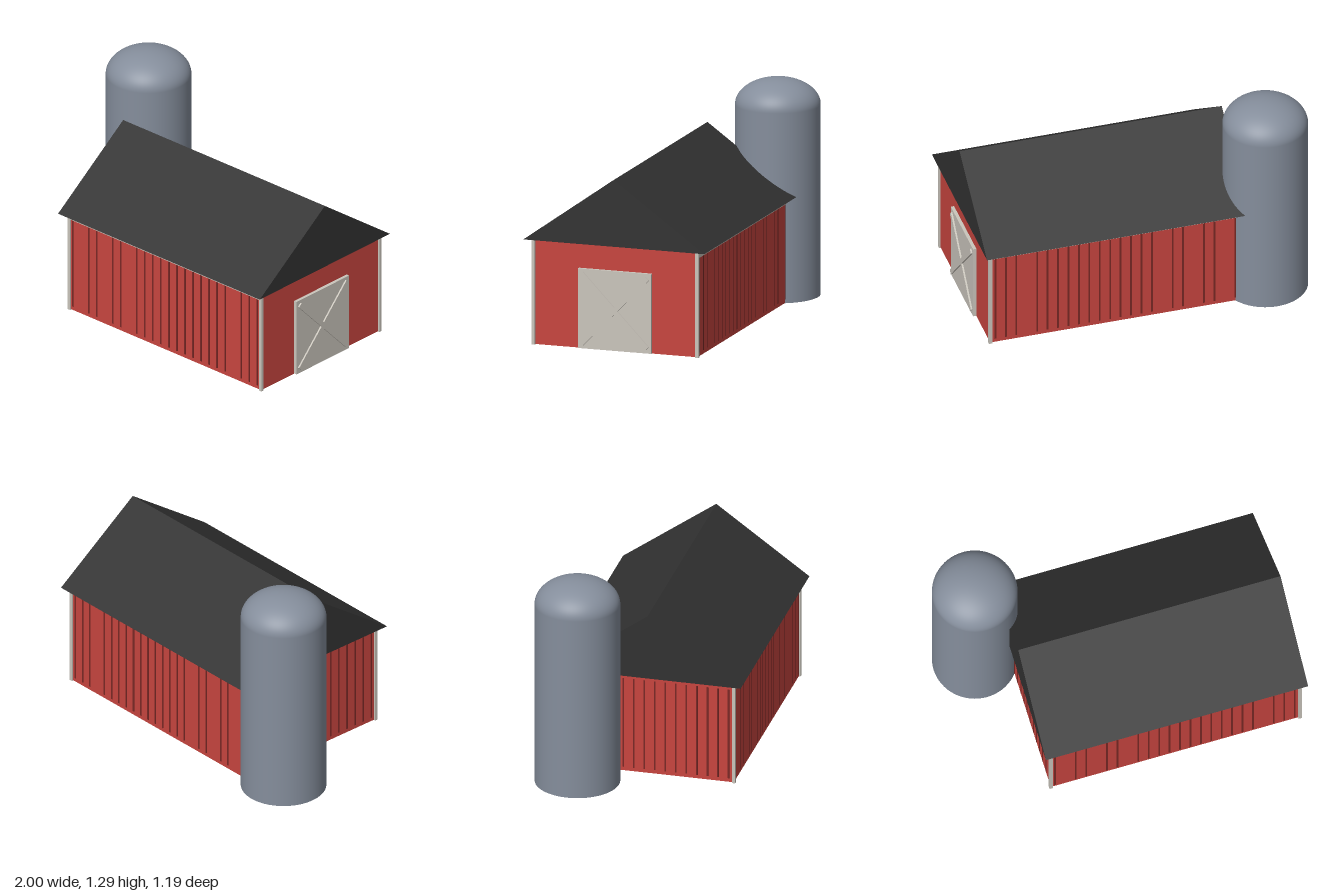
import * as THREE from 'three';

const mat = (name, color) => {
  const m = new THREE.MeshStandardMaterial({ color });
  m.name = name;
  return m;
};

export function createModel() {
  const red = mat('barnRed', 0xc8453f);
  const darkRed = mat('grooveRed', 0x7a2825);
  const cream = mat('trimCream', 0xcac5bc);
  const black = mat('roofBlack', 0x323232);
  const steel = mat('siloGrey', 0x858e9c);

  const root = new THREE.Group();
  root.name = 'barnWithSilo';
  const add = (name, geo, material, x = 0, y = 0, z = 0, parent = root) => {
    const m = new THREE.Mesh(geo, material);
    m.name = name;
    m.position.set(x, y, z);
    parent.add(m);
    return m;
  };
  const box = (name, material, x0, x1, y0, y1, z0, z1) =>
    add(name, new THREE.BoxGeometry(x1 - x0, y1 - y0, z1 - z0), material,
      (x0 + x1) / 2, (y0 + y1) / 2, (z0 + z1) / 2);

  const X0 = -0.555, X1 = 0.96, Z0 = -0.47, Z1 = 0.545, EAVE = 0.63;

  // Walls
  box('walls', red, X0, X1, 0.002, EAVE, Z0, Z1);

  // Corner posts and eave boards
  for (const x of [X0, X1])
    for (const z of [Z0, Z1])
      box('cornerPost', cream, x - 0.01, x + 0.01, 0, EAVE, z - 0.01, z + 0.01);
  for (const z of [Z0, Z1])
    box('eaveBoard', cream, X0, X1, 0.595, EAVE, z - 0.009, z + 0.009);

  // Plank joints along the two long walls; a few slots are left plain
  const plain = [1, 4, 7, 20];
  for (let i = 0; i < 24; i++) {
    if (plain.includes(i)) continue;
    const x = -0.53 + i * 0.0634;
    for (const z of [Z0, Z1])
      box('plankJoint', darkRed, x - 0.005, x + 0.005, 0.025, 0.595, z - 0.003, z + 0.003);
  }
  // Plank joints on the end wall beside the silo
  for (let i = 0; i < 16; i++) {
    const z = Z0 + 0.032 + i * 0.0634;
    box('plankJoint', darkRed, X0 - 0.003, X0 + 0.003, 0.025, 0.595, z - 0.005, z + 0.005);
  }

  // Solid gable roof, extruded along x
  const gable = new THREE.Shape([
    new THREE.Vector2(-0.597, EAVE),
    new THREE.Vector2(0.525, EAVE),
    new THREE.Vector2(-0.036, 1.03),
  ]);
  const roofGeo = new THREE.ExtrudeGeometry(gable, { depth: 1.595, bevelEnabled: false });
  roofGeo.rotateY(Math.PI / 2);
  add('roof', roofGeo, black, -0.6);

  // Door with crossed braces
  box('door', cream, X1, 0.98, 0.004, 0.48, -0.19, 0.263);
  for (const s of [-1, 1]) {
    const brace = add('doorBrace', new THREE.BoxGeometry(0.018, 0.03, 0.585), cream, 0.981, 0.243, 0.037);
    brace.rotation.x = s * 0.8;
  }

  // Silo
  const silo = new THREE.Group();
  silo.name = 'silo';
  silo.position.set(-0.75, 0, -0.346);
  root.add(silo);
  add('siloBody', new THREE.CylinderGeometry(0.25, 0.25, 1.135, 64, 1, true), steel, 0, 0.5675, 0, silo);
  const dome = new THREE.SphereGeometry(0.25, 64, 20, 0, Math.PI * 2, 0, Math.PI / 2);
  dome.scale(1, 0.63, 1);
  add('siloDome', dome, steel, 0, 1.135, 0, silo);
  add('siloBase', new THREE.CircleGeometry(0.25, 64).rotateX(Math.PI / 2), steel, 0, 0, 0, silo);

  return root;
}
